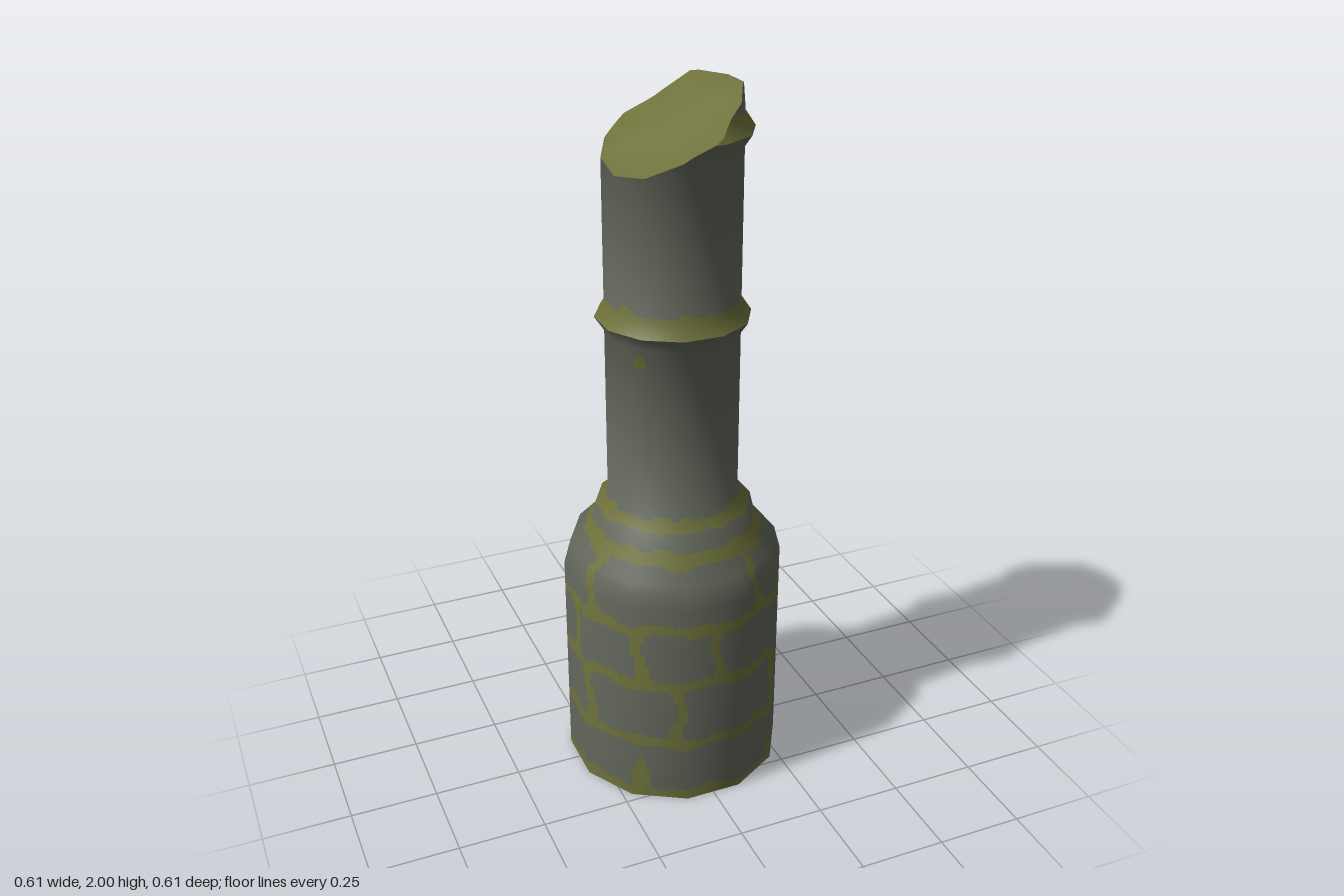
import * as THREE from 'three';

const RAD = Math.PI / 180;
const COLUMNS = 144; // 12 flat sides, each cut into 12 strips for the moss pattern

// Outline of the tower as [vertex radius, height]
const PROFILE = [
  [0.316, 0], [0.316, 0.64], [0.297, 0.71], [0.235, 0.775], [0.222, 0.83], [0.186, 0.86],
  [0.186, 1.35], [0.213, 1.39], [0.186, 1.43],
  [0.186, 1.85], [0.213, 1.89], [0.186, 1.93], [0.18, 2],
];

// Named parts: first and last point of the outline
const PARTS = [
  ['base', 0, 1], ['shoulder', 1, 5], ['lowerShaft', 5, 6], ['middleCollar', 6, 8],
  ['upperShaft', 8, 9], ['topCollar', 9, 12],
];

// Mortar joints (degrees) of each brick course; they repeat every half turn
const COURSES = [
  { y0: 0.02, y1: 0.195, joints: [], stubs: [[43, 0.07], [140, 0.13], [95, 0.05]] },
  { y0: 0.195, y1: 0.39, joints: [-20, 45, 107] },
  { y0: 0.39, y1: 0.57, joints: [2, 94, 140] },
  { y0: 0.57, y1: 0.762, joints: [28, 110] },
];

const wobble = (a, s) => Math.sin(a * 6 * RAD + s * 2.1) * 0.6 + Math.sin(a * 14 * RAD + s * 5) * 0.4;

// Distance in degrees between two angles in the half-turn pattern
function apart(a, b) {
  const d = (((a - b) % 180) + 180) % 180;
  return Math.min(d, 180 - d);
}

function isMossy(a, y) {
  // collars and the small spot on the shaft
  if (y > 1.89) return y < 1.945 + 0.012 * wobble(a, 3);
  if (y > 1.39) return y < 1.437 + 0.022 * Math.max(0, wobble(a, 1));
  if (y > 0.9) return Math.hypot(apart(a, 128) * 0.0032, y - 1.31) < 0.02;
  // thin bands above the shoulder
  if (y > 0.8) return Math.abs(y - 0.842) < 0.013 + 0.005 * wobble(a, 2);
  // beds between the courses
  if (y < 0.028 + 0.014 * wobble(a, 4)) return true;
  for (const [i, bed] of [0.195, 0.39, 0.57, 0.762].entries()) {
    if (Math.abs(y - bed - 0.006 * wobble(a, i)) < 0.016 + 0.005 * wobble(a + 40, i + 3)) return true;
  }
  // upright joints, wider at the ends so the bricks have round corners
  for (const c of COURSES) {
    if (y < c.y0 || y > c.y1) continue;
    const d = Math.min(y - c.y0, c.y1 - y);
    const half = 2.3 + 5 * Math.exp(-d / 0.022);
    if (c.joints.some((j) => apart(a, j + 2 * Math.sin(y * 30 + j)) < half)) return true;
    if (c.stubs && c.stubs.some(([j, top]) => y < top && apart(a, j) < 2 + 60 * (top - y) * 0.7)) return true;
  }
  return false;
}

// Height of the slanting break across the top
const breakHeight = (x, z) =>
  Math.min(2, 1.92 + 0.62 * x - 0.25 * z - 0.6 * Math.max(0, -z - 0.1));

function radiusAt(y) {
  for (let i = 1; i < PROFILE.length; i++) {
    const [r0, y0] = PROFILE[i - 1], [r1, y1] = PROFILE[i];
    if (y <= y1) return r0 + ((r1 - r0) * (y - y0)) / (y1 - y0);
  }
  return PROFILE[PROFILE.length - 1][0];
}

// Point on the twelve-sided wall, cut off at the break
function wallPoint(a, y) {
  const side = Math.cos(15 * RAD) / Math.cos((a - 30 * Math.round(a / 30)) * RAD);
  const s = Math.sin(a * RAD) * side, c = Math.cos(a * RAD) * side;
  const h = Math.min(y, breakHeight(0.186 * s, 0.186 * c));
  const r = radiusAt(h);
  return [r * s, h, r * c];
}

// Outline normals [outward, up]; soft on the shoulder, sharp at the collar rims
const segNormal = (i) => {
  const dr = PROFILE[i + 1][0] - PROFILE[i][0], dy = PROFILE[i + 1][1] - PROFILE[i][1];
  const l = Math.hypot(dr, dy);
  return [dy / l, -dr / l];
};
function endNormal(i, j) {
  const n = segNormal(i);
  if (j < 0 || j > PROFILE.length - 2) return n;
  const m = segNormal(j);
  if (n[0] * m[0] + n[1] * m[1] < Math.cos(55 * RAD)) return n;
  const l = Math.hypot(n[0] + m[0], n[1] + m[1]);
  return [(n[0] + m[0]) / l, (n[1] + m[1]) / l];
}

// Wall between two outline points, sorted into stone and moss
function buildWall(from, to) {
  const sets = [{ pos: [], nor: [] }, { pos: [], nor: [] }];
  const step = 360 / COLUMNS;
  for (let i = from; i < to; i++) {
    const y0 = PROFILE[i][1], y1 = PROFILE[i + 1][1];
    const n0 = endNormal(i, i - 1), n1 = endNormal(i, i + 1);
    const rows = Math.ceil((y1 - y0) / 0.01);
    for (let k = 0; k < rows; k++) {
      for (let c = 0; c < COLUMNS; c++) {
        const a = -15 + c * step;
        const corner = (u, v) => {
          const t = (k + v) / rows, ang = a + u * step;
          const o = n0[0] + (n1[0] - n0[0]) * t, up = n0[1] + (n1[1] - n0[1]) * t;
          return { p: wallPoint(ang, y0 + (y1 - y0) * t), n: [o * Math.sin(ang * RAD), up, o * Math.cos(ang * RAD)] };
        };
        const q = [corner(0, 0), corner(1, 0), corner(1, 1), corner(0, 1)];
        if (q[2].p[1] - q[1].p[1] < 1e-5 && q[3].p[1] - q[0].p[1] < 1e-5) continue;
        const set = sets[isMossy(a + step / 2, y0 + ((y1 - y0) * (k + 0.5)) / rows) ? 1 : 0];
        for (const m of [0, 1, 2, 0, 2, 3]) {
          set.pos.push(...q[m].p);
          set.nor.push(...q[m].n);
        }
      }
    }
  }
  return sets.map(({ pos, nor }) => {
    const g = new THREE.BufferGeometry();
    g.setAttribute('position', new THREE.Float32BufferAttribute(pos, 3));
    g.setAttribute('normal', new THREE.Float32BufferAttribute(nor, 3));
    return g;
  });
}

// Dished mossy surface closing the broken top
function buildBrokenTop() {
  const pos = [], index = [], n = 48, scales = [1, 0.75, 0.4];
  scales.forEach((s) => {
    for (let c = 0; c < n; c++) {
      const [x, y, z] = wallPoint(-15 + (c * 360) / n, 2);
      if (s === 1) pos.push(x, y, z);
      else pos.push(x * s, breakHeight(x * s, z * s) - 0.012, z * s);
    }
  });
  pos.push(0, breakHeight(0, 0) - 0.012, 0);
  for (let c = 0; c < n; c++) {
    const d = (c + 1) % n;
    for (let r = 0; r < scales.length - 1; r++) {
      const o = r * n, i = o + n;
      index.push(o + c, o + d, i + d, o + c, i + d, i + c);
    }
    const o = (scales.length - 1) * n;
    index.push(o + c, o + d, scales.length * n);
  }
  const g = new THREE.BufferGeometry();
  g.setAttribute('position', new THREE.Float32BufferAttribute(pos, 3));
  g.setIndex(index);
  g.computeVertexNormals();
  return g;
}

export function createModel() {
  const stone = new THREE.MeshStandardMaterial({ color: 0x62665a });
  stone.name = 'stone grey';
  const moss = new THREE.MeshStandardMaterial({ color: 0x6e713b });
  moss.name = 'moss green';

  const model = new THREE.Group();
  model.name = 'brokenTower';
  const add = (parent, name, geometry, material) => {
    const mesh = new THREE.Mesh(geometry, material);
    mesh.name = name;
    parent.add(mesh);
  };

  for (const [name, from, to] of PARTS) {
    const part = new THREE.Group();
    part.name = name;
    const [stoneGeo, mossGeo] = buildWall(from, to);
    if (stoneGeo.attributes.position.count) add(part, name + 'Stone', stoneGeo, stone);
    if (mossGeo.attributes.position.count) add(part, name + 'Moss', mossGeo, moss);
    model.add(part);
  }

  add(model, 'brokenTop', buildBrokenTop(), moss);
  add(model, 'underside', new THREE.CircleGeometry(0.316, 12, 15 * RAD).rotateX(Math.PI / 2), stone);
  return model;
}
